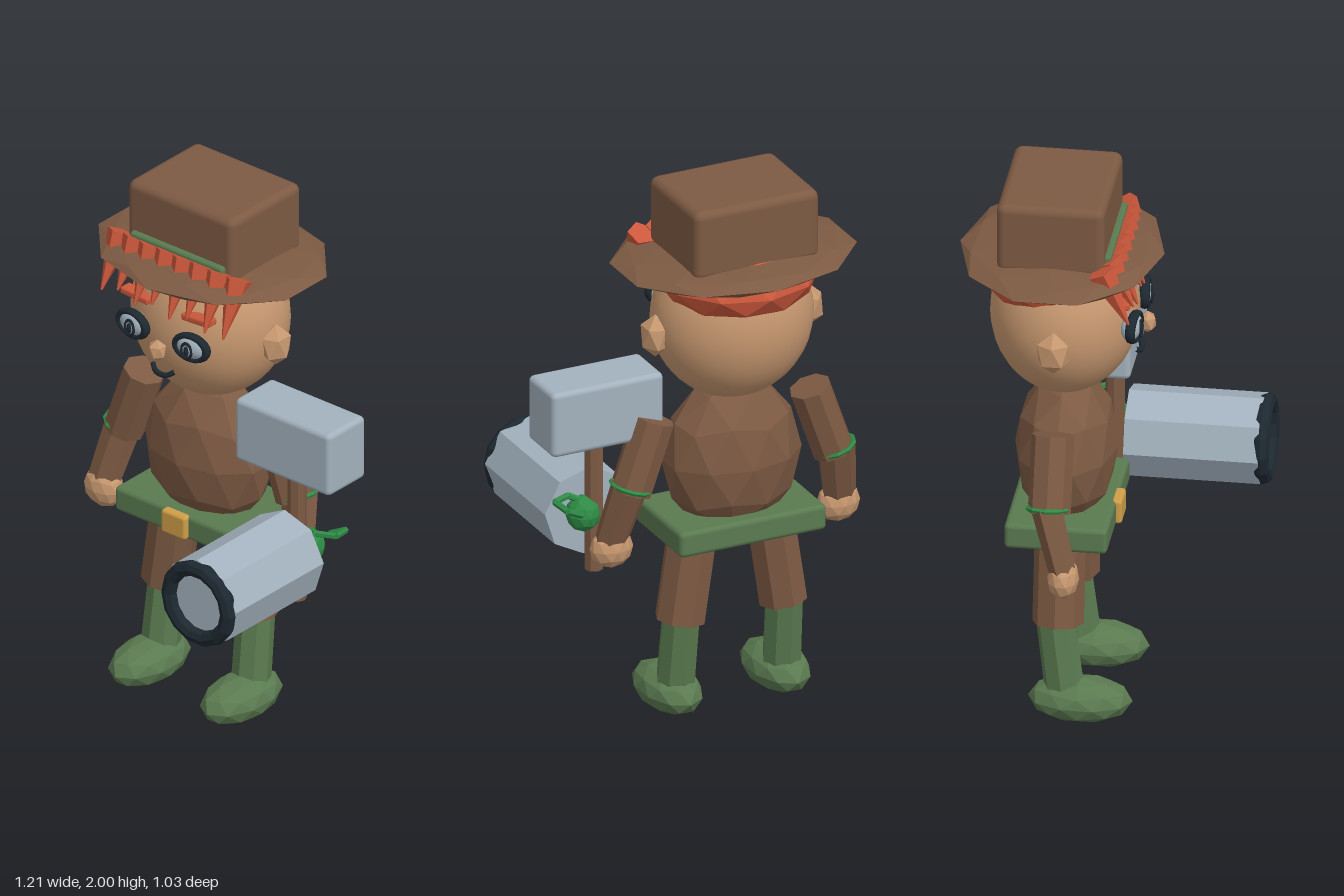
import * as THREE from 'three';
import { RoundedBoxGeometry } from 'three/addons/geometries/RoundedBoxGeometry.js';

const CX = -0.094; // the figure's own centre line

const colour = (name, hex) => {
  const m = new THREE.MeshStandardMaterial({ color: hex });
  m.name = name;
  return m;
};

// Faceted copy of a geometry
function flat(geo) {
  const g = geo.index ? geo.toNonIndexed() : geo;
  g.computeVertexNormals();
  return g;
}

// Faceted ball with a corner at the top, stretched to the given radii
function ball(rx, ry, rz, detail = 1) {
  const g = new THREE.IcosahedronGeometry(1, detail);
  g.rotateZ(Math.atan(2 / (1 + Math.sqrt(5))));
  g.scale(rx, ry, rz);
  return flat(g);
}

export function createModel() {
  const model = new THREE.Group();
  model.name = 'hatted worker';

  const brown = colour('brown leather', 0x7d5a43);
  const skin = colour('skin', 0xc6976f);
  const green = colour('moss green', 0x5a7a50);
  const orange = colour('orange hair', 0xcb573b);
  const steel = colour('pale steel', 0xa3b2be);
  const dark = colour('dark blue', 0x1d2830);
  const leaf = colour('bright green', 0x2e8b45);
  const gold = colour('gold', 0xcf9e48);

  function add(name, geo, mat, x = 0, y = 0, z = 0, parent = model) {
    const mesh = new THREE.Mesh(geo, mat);
    mesh.name = name;
    mesh.position.set(x, y, z);
    parent.add(mesh);
    return mesh;
  }

  // Faceted rod between two points, oval if flatten is not 1
  function rod(name, a, b, rTop, rBottom, mat, sides = 8, flatten = 1, parent = model) {
    const from = new THREE.Vector3(...a), to = new THREE.Vector3(...b);
    const axis = from.clone().sub(to);
    const g = new THREE.CylinderGeometry(rTop, rBottom, axis.length(), sides);
    g.scale(1, 1, flatten);
    const mesh = add(name, flat(g), mat, 0, 0, 0, parent);
    mesh.position.copy(from).add(to).multiplyScalar(0.5);
    mesh.quaternion.setFromUnitVectors(new THREE.Vector3(0, 1, 0), axis.normalize());
    return mesh;
  }

  const box = (w, h, d, r) => new RoundedBoxGeometry(w, h, d, 2, r);

  // Torso and belt
  add('torso', ball(0.257, 0.29, 0.18), brown, CX, 0.965, -0.14);
  add('belt', box(0.565, 0.095, 0.36, 0.018), green, CX, 0.733, -0.14);
  add('buckle', box(0.11, 0.09, 0.04, 0.012), gold, CX, 0.735, 0.04);

  // Head and hat
  const head = new THREE.SphereGeometry(1, 32, 20);
  head.scale(0.29, 0.3, 0.26);
  add('head', head, skin, CX, 1.5, -0.145);
  add('hair', ball(0.285, 0.135, 0.262), orange, CX, 1.67, -0.195);
  add('hatBrim', ball(0.445, 0.048, 0.357), brown, CX, 1.73, -0.155);
  add('hatCrown', box(0.48, 0.26, 0.378, 0.03), brown, CX, 1.87, -0.165);
  add('hatBand', box(0.42, 0.06, 0.07, 0.012), green, CX, 1.785, 0.01);
  add('nose', ball(0.035, 0.042, 0.034, 0), skin, CX, 1.462, 0.142);

  // Fringe of pointed tufts pushed through the brim
  for (let i = 0; i < 8; i++) {
    const t = i / 3.5 - 1;
    const edge = Math.abs(t) ** 3;
    const long = i % 2 ? 0.03 : 0;
    rod('hairTuft', [CX + t * 0.265, 1.795 - edge * 0.01, 0.035 - edge * 0.015],
      [CX + t * 0.275, 1.59 + (edge > 0.9 ? 0 : long), 0.125 - edge * 0.01],
      0.052, 0.004, orange, 5);
  }

  // Smile
  const smile = new THREE.CatmullRomCurve3([
    [-0.05, 1.378, 0.105], [-0.025, 1.362, 0.12], [0.02, 1.36, 0.12], [0.05, 1.378, 0.105],
  ].map((p) => new THREE.Vector3(p[0] + CX, p[1], p[2])));
  add('mouth', new THREE.TubeGeometry(smile, 10, 0.01, 6), dark);

  for (const s of [-1, 1]) {
    const side = s < 0 ? 'right' : 'left';
    const at = (d) => CX + s * d;

    // Eye: dark rim, pale ball, dark ringed pupil
    const eye = new THREE.Group();
    eye.name = side + 'Eye';
    eye.position.set(at(0.131), 1.508, 0.1);
    eye.rotation.y = s * 0.1;
    model.add(eye);
    const rim = new THREE.TorusGeometry(0.064, 0.014, 8, 20);
    rim.scale(1, 0.7, 1.3);
    add('eyeRim', rim, dark, 0, 0, 0.015, eye);
    const white = new THREE.SphereGeometry(1, 20, 12);
    white.scale(0.066, 0.045, 0.035);
    add('eyeball', white, steel, 0, 0, 0.005, eye);
    const iris = new THREE.TorusGeometry(0.021, 0.005, 6, 16);
    iris.scale(1, 1.35, 1);
    add('irisRing', iris, dark, -s * 0.006, -0.006, 0.037, eye);
    const pupil = new THREE.SphereGeometry(1, 12, 8);
    pupil.scale(0.01, 0.02, 0.008);
    add('pupil', pupil, dark, -s * 0.006, -0.006, 0.039, eye);

    const brow = add(side + 'Eyebrow', box(0.125, 0.026, 0.05, 0.008), orange, at(0.138), 1.61, 0.082);
    brow.rotation.z = s * 0.06;
    add(side + 'Ear', ball(0.055, 0.08, 0.064, 0), skin, at(0.295), 1.47, -0.145);

    // Arm
    rod(side + 'UpperArm', [at(0.3), 1.155, -0.145], [at(0.39), 0.897, -0.145], 0.075, 0.075, brown);
    rod(side + 'Forearm', [at(0.396), 0.925, -0.155], [at(0.441), 0.69, -0.09], 0.072, 0.062, brown, 7, 0.75);
    const cuff = new THREE.TorusGeometry(0.07, 0.009, 5, 10);
    cuff.rotateX(Math.PI / 2);
    add(side + 'ElbowCuff', flat(cuff), leaf, at(0.393), 0.915, -0.15).rotation.z = s * 0.3;
    add(side + 'Hand', ball(0.08, 0.074, 0.056), skin, at(0.437), 0.67, -0.09);

    // Leg and boot
    rod(side + 'Thigh', [at(0.14), 0.76, -0.14], [at(0.198), 0.372, -0.142], 0.09, 0.09, brown);
    rod(side + 'BootShaft', [at(0.199), 0.39, -0.152], [at(0.205), 0.11, -0.118], 0.068, 0.07, green);
    add(side + 'BootFoot', ball(0.107, 0.08, 0.183), green, at(0.208), 0.085, -0.063);
  }

  // Hammer held upright
  add('hammerHead', box(0.43, 0.243, 0.2, 0.02), steel, 0.386, 1.204, -0.057);
  rod('hammerHandle', [0.386, 1.12, -0.04], [0.386, 0.58, -0.04], 0.034, 0.034, brown);

  // Barrel with a dark muzzle ring
  const barrel = rod('barrel', [0.387, 0.78, 0.48], [0.387, 0.78, 0.01], 0.163, 0.163, steel);
  barrel.geometry.rotateY(0.087);
  add('muzzleRing', flat(new THREE.TorusGeometry(0.133, 0.029, 8, 14)), dark, 0.387, 0.78, 0.486);

  // Fruit on a bent stalk behind the barrel
  add('fruit', ball(0.062, 0.066, 0.062), leaf, 0.43, 0.8, -0.045);
  const stalk = [
    [0.44, 0.85, -0.045], [0.48, 0.87, -0.03], [0.545, 0.87, -0.06], [0.53, 0.86, -0.13], [0.47, 0.83, -0.12],
  ];
  for (let i = 1; i < stalk.length; i++) {
    rod('stalk', stalk[i - 1], stalk[i], 0.012, 0.012, leaf, 6);
  }

  return model;
}
